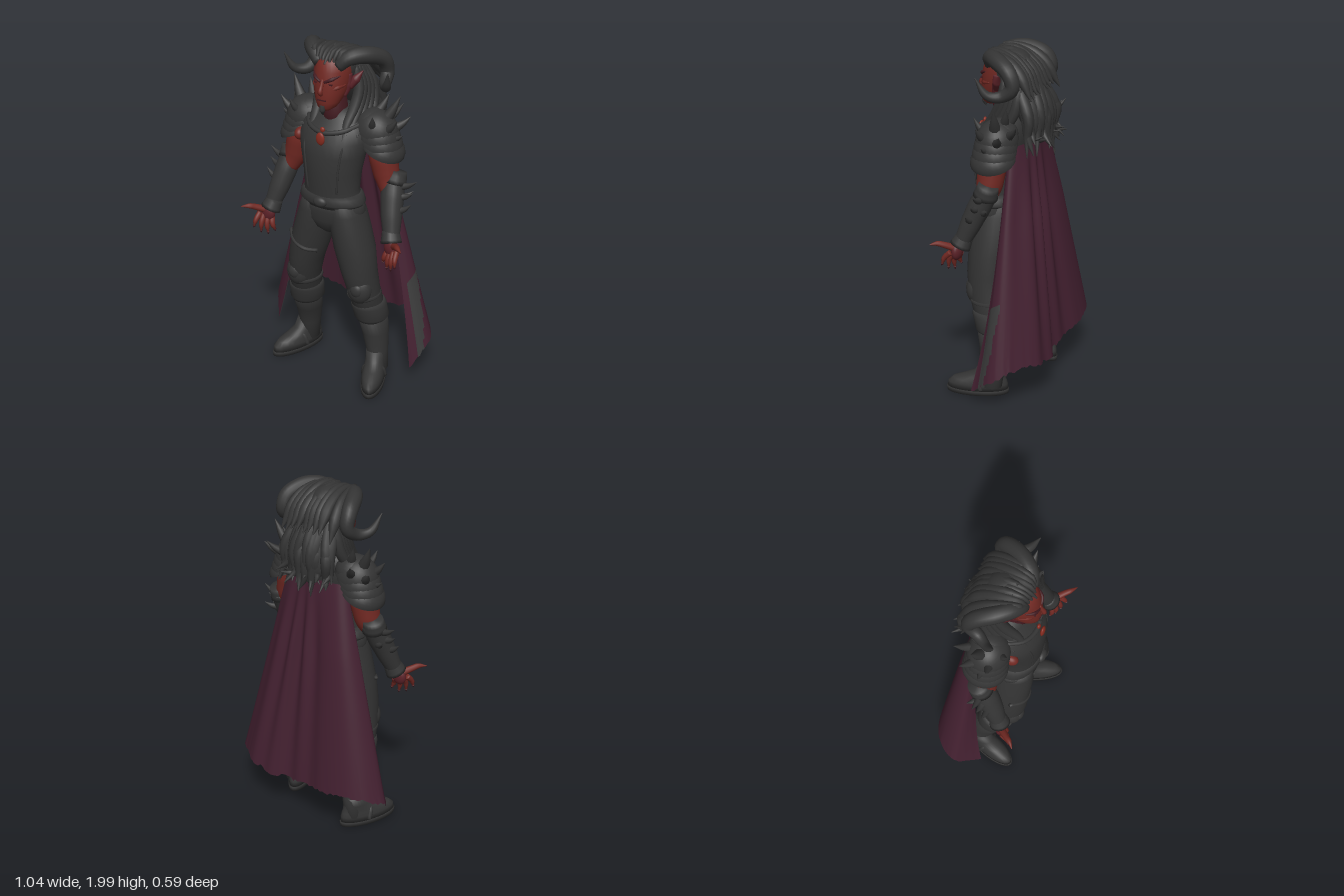
import * as THREE from 'three';

const mat = (name, color, side = THREE.FrontSide) => {
  const m = new THREE.MeshStandardMaterial({ color, side });
  m.name = name;
  return m;
};
const V = (a) => new THREE.Vector3(...a);

// closed smooth skin over a list of rings, capped at both ends
function skin(rings) {
  const n = rings[0].length, pos = [], idx = [];
  rings.forEach((r) => r.forEach((p) => pos.push(p.x, p.y, p.z)));
  for (let i = 0; i < rings.length - 1; i++) for (let j = 0; j < n; j++) {
    const a = i * n + j, b = i * n + (j + 1) % n, c = a + n, d = b + n;
    idx.push(a, b, c, b, d, c);
  }
  const last = (rings.length - 1) * n, c0 = rings.length * n;
  for (const r of [rings[0], rings[rings.length - 1]]) {
    const c = r.reduce((s, p) => s.add(p), new THREE.Vector3()).divideScalar(n);
    pos.push(c.x, c.y, c.z);
  }
  for (let j = 0; j < n; j++) {
    const k = (j + 1) % n;
    idx.push(c0, k, j, c0 + 1, last + j, last + k);
  }
  const g = new THREE.BufferGeometry();
  g.setAttribute('position', new THREE.Float32BufferAttribute(pos, 3));
  g.setIndex(idx);
  g.computeVertexNormals();
  return g;
}

// horizontal rings, bottom to top: [x, y, z, rx, rz]
function loft(sections, n = 28) {
  return skin(sections.map(([x, y, z, rx, rz]) => Array.from({ length: n }, (_, j) => {
    const t = (j / n) * Math.PI * 2;
    return new THREE.Vector3(x + Math.cos(t) * rx, y, z - Math.sin(t) * rz);
  })));
}

// tube along a curve with changing radius
function taper(points, radii, steps = 14, n = 10) {
  const curve = new THREE.CatmullRomCurve3(points.map(V));
  const f = curve.computeFrenetFrames(steps);
  return skin(Array.from({ length: steps + 1 }, (_, i) => {
    const u = i / steps, p = curve.getPointAt(u), k = u * (radii.length - 1);
    const a = Math.min(Math.floor(k), radii.length - 2);
    const r = THREE.MathUtils.lerp(radii[a], radii[a + 1], k - a);
    return Array.from({ length: n }, (_, j) => {
      const t = (j / n) * Math.PI * 2;
      return p.clone().addScaledVector(f.normals[i], Math.cos(t) * r).addScaledVector(f.binormals[i], Math.sin(t) * r);
    });
  }));
}

export function createModel() {
  const root = new THREE.Group();
  const armour = mat('dark armour', 0x343434, THREE.DoubleSide), cloth = mat('dark cloth', 0x323232);
  const hair = mat('black hair', 0x333333), skinRed = mat('red skin', 0x702822), skinDark = mat('dark red skin', 0x5a2127);
  const wine = mat('wine cape', 0x432030, THREE.DoubleSide), lining = mat('grey cape edge', 0x3a3a3a, THREE.DoubleSide);
  const gem = mat('red gem', 0x842b1f), nail = mat('dark claw', 0x421a20);
  const add = (name, geo, m, parent = root) => {
    const o = new THREE.Mesh(geo, m);
    o.name = name;
    parent.add(o);
    return o;
  };
  let seed = 7;
  const rnd = () => (seed = (seed * 16807) % 2147483647) / 2147483647 - 0.5;
  const ball = (name, p, s, m) => {
    const o = add(name, new THREE.SphereGeometry(1, 20, 14), m);
    o.position.set(...p);
    o.scale.set(...s);
    return o;
  };
  const spike = (name, base, tip, r) => {
    const mid = base.map((v, i) => (v + tip[i]) / 2);
    mid[1] -= 0.008;
    add(name, taper([base, mid, tip], [r, r * 0.6, 0.001], 6, 8), armour);
  };

  // torso, pelvis, belt and collar
  add('torso', loft([[0, 1.1, 0.107, 0.18, 0.124], [0, 1.15, 0.11, 0.168, 0.122], [0, 1.2, 0.113, 0.158, 0.124],
    [0, 1.3, 0.108, 0.166, 0.136], [0, 1.4, 0.098, 0.186, 0.146], [0, 1.48, 0.085, 0.2, 0.145],
    [0, 1.55, 0.06, 0.19, 0.125], [0, 1.6, 0.045, 0.14, 0.095], [0, 1.64, 0.045, 0.09, 0.072]]), armour);
  add('pelvis', loft([[0, 0.93, 0.1, 0.04, 0.07], [0, 0.965, 0.103, 0.12, 0.105], [0, 1.02, 0.105, 0.188, 0.124],
    [0, 1.08, 0.105, 0.193, 0.126], [0, 1.13, 0.107, 0.18, 0.122]]), cloth);
  add('belt', loft([[0, 1.11, 0.107, 0.185, 0.126], [0, 1.125, 0.108, 0.194, 0.135], [0, 1.16, 0.11, 0.182, 0.133],
    [0, 1.178, 0.11, 0.165, 0.12]]), armour);
  ball('buckle', [0, 1.142, 0.238], [0.042, 0.03, 0.025], armour);
  add('breastplateRim', taper([[-0.16, 1.57, 0.09], [-0.1, 1.545, 0.17], [0, 1.53, 0.203], [0.1, 1.545, 0.17],
    [0.16, 1.57, 0.09]], [0.012, 0.014, 0.012], 20), armour);
  ball('pendant', [0, 1.505, 0.23], [0.026, 0.036, 0.012], gem);
  ball('pendantTop', [0, 1.548, 0.207], [0.014, 0.016, 0.01], gem);
  ball('bareShoulder', [-0.19, 1.46, 0.13], [0.03, 0.035, 0.04], skinRed);

  // head and face
  add('neck', loft([[0, 1.54, 0.07, 0.085, 0.09], [0, 1.62, 0.075, 0.065, 0.07], [0, 1.74, 0.09, 0.06, 0.065]]), nail);
  add('head', loft([[0, 1.652, 0.17, 0.022, 0.025], [0, 1.67, 0.158, 0.05, 0.053], [0, 1.7, 0.143, 0.068, 0.073],
    [0, 1.75, 0.117, 0.086, 0.1], [0, 1.8, 0.1, 0.096, 0.11], [0, 1.86, 0.088, 0.098, 0.113],
    [0, 1.91, 0.08, 0.085, 0.1], [0, 1.94, 0.075, 0.05, 0.06]]), skinRed);
  add('nose', taper([[0, 1.825, 0.2], [0, 1.79, 0.215], [0, 1.756, 0.228], [0, 1.745, 0.205]], [0.008, 0.01, 0.013, 0.008]), skinRed);
  add('mouth', new THREE.BoxGeometry(0.05, 0.007, 0.009), nail).position.set(0, 1.715, 0.213);
  add('goatee', taper([[0, 1.685, 0.205], [0, 1.66, 0.207], [0, 1.63, 0.2]], [0.016, 0.016, 0.002]), hair);

  // scalp, mane and swept hair
  ball('scalp', [0, 1.86, 0.035], [0.105, 0.115, 0.125], hair);
  add('mane', loft([[0, 1.5, -0.15, 0.05, 0.025], [0, 1.58, -0.13, 0.14, 0.06], [0, 1.68, -0.09, 0.15, 0.085],
    [0, 1.78, -0.04, 0.13, 0.1], [0, 1.88, 0, 0.1, 0.095], [0, 1.94, 0.04, 0.04, 0.05]]), hair);
  for (let i = 0; i < 9; i++) {
    const x = (i - 4) * 0.02, w = rnd() * 0.05;
    add('topLock', taper([[x, 1.9, 0.183 - Math.abs(x) * 0.6], [x * 1.1, 1.945 + rnd() * 0.02, 0.145], [x * 1.3 + w * 0.5, 1.955 + rnd() * 0.02, 0.05],
      [x * 1.5 + w, 1.895, -0.06], [x * 1.8 + w, 1.76 + rnd() * 0.06, -0.16]], [0.006, 0.02, 0.03, 0.032, 0.003]), hair);
  }
  for (let i = 0; i < 20; i++) {
    const x = ((i % 10) - 4.5) / 4.5, k = i < 10 ? 0 : 1, q = Math.abs(x) * 0.05, w = rnd() * 0.05;
    add('backLock', taper([[x * 0.08, 1.88 - k * 0.1, -0.04 - k * 0.03 + q], [x * 0.12 + w * 0.4, 1.76 - k * 0.05, -0.13 + q],
      [x * 0.15 + w, 1.64, -0.18 + rnd() * 0.03 + q], [x * 0.16 + w * 0.4, 1.54 + rnd() * 0.05, -0.185 + q],
      [x * 0.18 + rnd() * 0.08, 1.49 + rnd() * 0.12, -0.225 + rnd() * 0.06 + q]], [0.02, 0.034, 0.034, 0.022, 0.002]), hair);
  }
  for (let i = 0; i < 3; i++) spike('hairTuft', [(i - 1) * 0.03, 1.95, 0.09], [(i - 1) * 0.06, 1.99 - Math.abs(i - 1) * 0.01, 0.08], 0.012);

  for (const s of [-1, 1]) {
    const M = (pts) => pts.map(([x, y, z]) => [x * s, y, z]);
    const m = ([x, y, z]) => [x * s, y, z];
    // face sides
    add('eye', new THREE.BoxGeometry(0.028, 0.008, 0.008), nail).position.set(s * 0.04, 1.802, 0.197);
    add('brow', taper(M([[0.012, 1.812, 0.206], [0.045, 1.828, 0.197], [0.08, 1.845, 0.158]]), [0.007, 0.01, 0.003]), nail);
    add('cheekbone', taper(M([[0.035, 1.765, 0.195], [0.06, 1.78, 0.175], [0.09, 1.79, 0.125]]), [0.006, 0.014, 0.006]), skinRed);
    add('jawSide', taper(M([[0.07, 1.72, 0.11], [0.08, 1.77, 0.09], [0.085, 1.84, 0.085]]), [0.014, 0.026, 0.02]), skinDark);
    add('ear', taper(M([[0.09, 1.765, 0.085], [0.112, 1.8, 0.07], [0.145, 1.85, 0.04]]), [0.018, 0.024, 0.002]), skinDark);
    // horns
    add('horn', taper(M([[0.055, 1.885, 0.14], [0.1, 1.93, 0.115], [0.165, 1.938, 0.04], [0.212, 1.895, -0.055],
      [0.22, 1.82, -0.08], [0.238, 1.775, -0.025], [0.28, 1.785, 0.035], [0.315, 1.88, 0.085]]),
    [0.032, 0.043, 0.045, 0.043, 0.038, 0.031, 0.021, 0.002], 40, 14), armour);
    // locks behind the ears, falling to the chest
    for (let i = 0; i < 5; i++) add('sideLock', taper(M([[0.085, 1.87, 0.03 - i * 0.02], [0.115 + i * 0.006, 1.75, 0.03 - i * 0.025],
      [0.11 + i * 0.012, 1.65, 0.07 - i * 0.03], [0.1 + i * 0.02, 1.57, 0.13 - i * 0.03], [0.11 + i * 0.03, 1.48 + i * 0.02, 0.2 - i * 0.03]]),
    [0.02, 0.03, 0.03, 0.024, 0.003]), hair);
    add('breastplateSeam', taper(M([[0.12, 1.53, 0.162], [0.115, 1.45, 0.205], [0.1, 1.33, 0.219], [0.09, 1.2, 0.215]]), [0.006, 0.006], 14, 8), armour);

    // pauldron: shoulder cap, overlapping plates and spikes
    ball('shoulderCap', m([0.195, 1.555, 0.01]), [0.1, 0.088, 0.1], armour);
    for (let k = 0; k < 4; k++) {
      const p = add('pauldronPlate', new THREE.SphereGeometry(1, 24, 10, 0, Math.PI * 2, 0, Math.PI * 0.5), armour);
      p.position.set(s * (0.21 + k * 0.016), 1.52 - k * 0.032, 0.015);
      p.scale.set(0.124 - k * 0.002, 0.12 - k * 0.01, 0.114 + k * 0.003);
      p.rotation.z = -s * (0.3 + k * 0.03);
    }
    [[[0.26, 1.59, 0.0], [0.33, 1.725, -0.03], 0.036], [[0.2, 1.61, -0.02], [0.245, 1.71, -0.06], 0.03],
      [[0.29, 1.55, 0.05], [0.36, 1.625, 0.06], 0.028], [[0.3, 1.54, -0.03], [0.365, 1.6, -0.08], 0.028],
      [[0.23, 1.57, 0.09], [0.255, 1.645, 0.13], 0.024], [[0.31, 1.5, 0.02], [0.375, 1.53, 0.02], 0.022],
      [[0.24, 1.57, -0.07], [0.29, 1.64, -0.14], 0.026]].forEach(([a, b, r]) => spike('pauldronSpike', m(a), m(b), r));

    // arm and bracer
    add('upperArm', taper(M([[0.235, 1.48, 0.01], [0.262, 1.38, 0.02], [0.285, 1.29, 0.025], [0.32, 1.2, 0.05]]), [0.068, 0.078, 0.07, 0.045], 16, 18), skinRed);
    add('bracer', taper(M([[0.325, 1.29, 0.005], [0.33, 1.24, 0.03], [0.35, 1.13, 0.08], [0.385, 0.98, 0.14]]),
      [0.058, 0.064, 0.057, 0.043], 16, 18), armour);
    add('elbowRim', taper(M([[0.335, 1.315, 0], [0.33, 1.25, 0.022]]), [0.055, 0.068], 3, 18), armour);
    add('wristRim', taper(M([[0.372, 1.02, 0.125], [0.39, 0.96, 0.148]]), [0.046, 0.058], 4, 16), armour);
    [[[0.37, 1.24, 0.03], [0.465, 1.285, 0.02]], [[0.38, 1.19, 0.05], [0.455, 1.225, 0.04]], [[0.385, 1.12, 0.08], [0.46, 1.17, 0.07]],
      [[0.36, 1.17, 0.02], [0.42, 1.2, -0.03]]].forEach(([a, b]) => spike('bracerSpike', m(a), m(b), 0.024));
    // hand
    ball('palm', m([0.4, 0.935, 0.16]), [0.045, 0.052, 0.028], skinDark).rotation.z = s * 0.25;
    for (let i = 0; i < 4; i++) {
      const a = [0.375 + i * 0.022, 0.915 + i * 0.007, 0.155 + i * 0.008];
      const b = [0.35 + i * 0.035, [0.84, 0.82, 0.83, 0.86][i], 0.165 + i * 0.02];
      const c = a.map((v, k) => (v + b[k]) / 2 + (k === 2 ? 0.012 : 0));
      add('finger', taper(M([a, c, b]), [0.016, 0.016, 0.013, 0.002]), skinRed);
      add('claw', taper(M([c.map((v, k) => v * 0.2 + b[k] * 0.8), b.map((v, k) => v + (b[k] - c[k]) * 0.15)]), [0.01, 0.001], 4, 8), nail);
    }
    add('thumb', taper(M([[0.415, 0.955, 0.165], [0.455, 0.98, 0.21], [0.475, 0.99, 0.235], [0.51, 0.99, 0.265]]),
      [0.021, 0.018, 0.015, 0.002]), skinRed);

    // trouser leg, knee pad and boot
    const foot = s * 0.04;
    add('trouserLeg', loft([[s * 0.215, 0.4, 0.045, 0.075, 0.085], [s * 0.205, 0.5, 0.07, 0.088, 0.098], [s * 0.193, 0.6, 0.1, 0.088, 0.105],
      [s * 0.17, 0.72, 0.112, 0.1, 0.112], [s * 0.14, 0.85, 0.107, 0.115, 0.12], [s * 0.112, 0.97, 0.105, 0.107, 0.126],
      [s * 0.095, 1.06, 0.105, 0.098, 0.12], [s * 0.09, 1.12, 0.105, 0.08, 0.11]]), cloth);
    ball('kneePad', m([0.2, 0.62, 0.155]), [0.073, 0.09, 0.06], armour);
    ball('kneeCap', m([0.203, 0.63, 0.192]), [0.04, 0.045, 0.03], armour);
    add('kneeStrap', loft([[s * 0.195, 0.555, 0.09, 0.088, 0.104], [s * 0.194, 0.565, 0.092, 0.095, 0.108],
      [s * 0.193, 0.58, 0.094, 0.09, 0.105]]), armour);
    add('bootShaft', loft([[s * 0.26, 0.06, foot, 0.056, 0.068], [s * 0.252, 0.18, foot * 0.9, 0.059, 0.073], [s * 0.235, 0.3, foot * 0.4 + 0.015, 0.074, 0.087],
      [s * 0.22, 0.42, 0.045, 0.085, 0.095]]), armour);
    add('bootCuff', loft([[s * 0.218, 0.39, 0.045, 0.084, 0.094], [s * 0.216, 0.41, 0.045, 0.098, 0.105], [s * 0.212, 0.45, 0.055, 0.097, 0.104],
      [s * 0.208, 0.49, 0.065, 0.1, 0.106], [s * 0.206, 0.515, 0.07, 0.09, 0.1]]), armour);
    const boot = new THREE.Group();
    boot.name = 'boot';
    boot.position.set(s > 0 ? 0.245 : -0.265, 0, foot);
    boot.rotation.y = s * 0.36;
    root.add(boot);
    add('sole', loft([[0, 0.005, 0.085, 0.066, 0.178], [0, 0.03, 0.085, 0.068, 0.182], [0, 0.033, 0.085, 0.06, 0.17]]), armour, boot);
    add('bootUpper', loft([[0, 0.03, 0.085, 0.063, 0.175], [0, 0.065, 0.083, 0.064, 0.173], [0, 0.09, 0.072, 0.06, 0.155],
      [0, 0.11, 0.045, 0.056, 0.12], [0, 0.14, 0.015, 0.055, 0.085], [0, 0.19, 0.003, 0.055, 0.07]]), armour, boot);
    add('instepStrap', taper([[-0.063, 0.04, 0.06], [-0.045, 0.105, 0.08], [0, 0.118, 0.085], [0.045, 0.105, 0.08], [0.063, 0.04, 0.06]],
      [0.014, 0.014], 12, 8), armour, boot);
  }
  add('thighStrap', taper([[-0.25, 0.87, 0.15], [-0.19, 0.84, 0.212], [-0.12, 0.815, 0.22], [-0.06, 0.8, 0.18]], [0.012, 0.012], 14, 8), armour);

  // cape between a shoulder curve and a ragged hem, with thin grey edge patches
  const curve = (pts) => new THREE.CatmullRomCurve3(pts.map(V));
  const top = curve([[-0.19, 1.5, -0.04], [-0.2, 1.5, -0.06], [-0.17, 1.5, -0.09], [-0.08, 1.5, -0.11], [0, 1.5, -0.12],
    [0.08, 1.5, -0.11], [0.17, 1.5, -0.09], [0.2, 1.5, -0.06], [0.19, 1.5, -0.04]]);
  const hem = curve([[-0.43, 0.16, 0.04], [-0.52, 0.27, -0.11], [-0.42, 0.33, -0.23], [-0.2, 0.31, -0.275], [0, 0.28, -0.25],
    [0.23, 0.29, -0.295], [0.41, 0.31, -0.23], [0.515, 0.26, -0.12], [0.47, 0.13, 0.05]]);
  const cols = 96, rows = 24, pos = [];
  const rag = Array.from({ length: cols + 1 }, () => rnd() * 0.022);
  for (let i = 0; i <= rows; i++) for (let j = 0; j <= cols; j++) {
    const v = i / rows, u = j / cols, a = top.getPoint(u), b = hem.getPoint(u), p = a.clone().lerp(b, v);
    if (b.z > a.z) p.z = a.z + (b.z - a.z) * v ** 3;
    const fold = Math.sin(u * 40 + Math.sin(u * 11) * 3) * 0.016 * Math.sin(Math.PI * u) * Math.min(1, v * 3) * (1.2 - v * 0.5);
    pos.push(p.x, p.y + rag[j] * v ** 8, p.z + fold);
  }
  const sheet = (name, m, lift, keep) => {
    const idx = [];
    for (let i = 0; i < rows; i++) for (let j = 0; j < cols; j++) {
      if (!keep(j / cols, i / rows)) continue;
      const a = i * (cols + 1) + j, b = a + 1, c = a + cols + 1, d = c + 1;
      idx.push(a, b, c, b, d, c);
    }
    const g = new THREE.BufferGeometry();
    g.setAttribute('position', new THREE.Float32BufferAttribute(pos, 3));
    g.setIndex(idx);
    g.computeVertexNormals();
    const p = g.attributes.position, q = g.attributes.normal;
    for (let i = 0; i < p.count; i++) p.setXYZ(i, p.getX(i) + q.getX(i) * lift, p.getY(i) + q.getY(i) * lift, p.getZ(i) + q.getZ(i) * lift);
    add(name, g, m);
  };
  sheet('cape', wine, 0, () => true);
  sheet('capeOuterEdge', lining, 0.003, (u, v) => v > 0.66 && u > 0.86 + (v - 0.66) * 0.2 && u < 0.95);
  sheet('capeInnerEdge', lining, -0.003, (u, v) => u < 0.08 && v > 0.68);
  return root;
}
